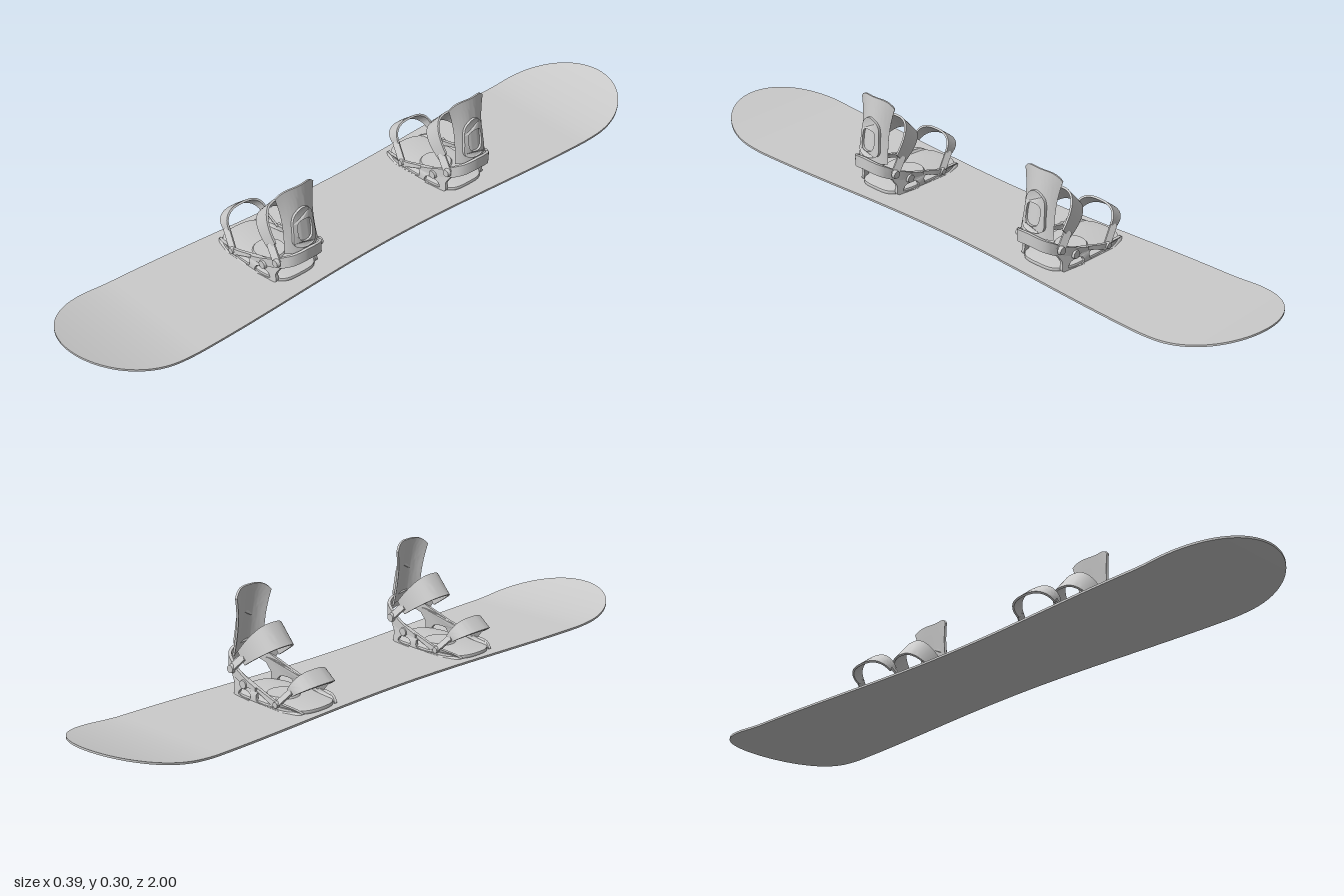
import * as THREE from 'three';
import { toCreasedNormals } from 'three/addons/utils/BufferGeometryUtils.js';

const material = new THREE.MeshStandardMaterial({ color: 0xcccccc, side: THREE.DoubleSide });
const V = (x, y, z = 0) => new THREE.Vector3(x, y, z);
const lerp = THREE.MathUtils.lerp;

function part(name, geometry, parent) {
  const mesh = new THREE.Mesh(toCreasedNormals(geometry, 0.6), material);
  mesh.name = name;
  parent.add(mesh);
  return mesh;
}

// Thick sheet following f(u, v); offset is a fixed vector or a distance along the normal
function sheet(f, nu, nv, offset) {
  const pos = [], index = [], row = nu + 1, layer = row * (nv + 1), e = 1e-3;
  for (let k = 0; k < 2; k++) {
    for (let j = 0; j <= nv; j++) {
      for (let i = 0; i <= nu; i++) {
        const u = i / nu, v = j / nv, p = f(u, v);
        if (k && offset.isVector3) p.add(offset);
        else if (k) {
          const du = f(Math.min(u + e, 1), v).sub(f(Math.max(u - e, 0), v));
          const dv = f(u, Math.min(v + e, 1)).sub(f(u, Math.max(v - e, 0)));
          p.addScaledVector(du.cross(dv).normalize(), offset);
        }
        pos.push(p.x, p.y, p.z);
      }
    }
  }
  const quad = (a, b, c, d) => index.push(a, b, c, a, c, d);
  for (let j = 0; j < nv; j++) {
    for (let i = 0; i < nu; i++) {
      const a = j * row + i, b = a + 1, c = b + row, d = a + row;
      quad(a, d, c, b);
      quad(a + layer, b + layer, c + layer, d + layer);
    }
  }
  const rim = (a, b) => quad(a, b, b + layer, a + layer);
  for (let i = 0; i < nu; i++) {
    rim(i, i + 1);
    rim(nv * row + i + 1, nv * row + i);
  }
  for (let j = 0; j < nv; j++) {
    rim((j + 1) * row, j * row);
    rim(j * row + nu, (j + 1) * row + nu);
  }
  const g = new THREE.BufferGeometry();
  g.setAttribute('position', new THREE.Float32BufferAttribute(pos, 3));
  g.setIndex(index);
  return g;
}

function bend(geometry, rule) {
  const p = geometry.attributes.position, v = V(0, 0);
  for (let i = 0; i < p.count; i++) {
    rule(v.fromBufferAttribute(p, i));
    p.setXYZ(i, v.x, v.y, v.z);
  }
  return geometry;
}

const smoothLoop = (points, n) => new THREE.CatmullRomCurve3(points.map(([x, y]) => V(x, y)), true, 'centripetal')
  .getPoints(n).slice(0, -1).map(p => new THREE.Vector2(p.x, p.y));

// Waisted deck with rounded, upturned ends
function deckPoint(u, v) {
  const z = Math.cos(Math.PI * v), a = Math.abs(z);
  const t = Math.max(0, (a - 0.78) / 0.22);
  const half = a < 0.78
    ? 0.166 + 0.031 * Math.sin(Math.PI * a / 1.56) ** 2
    : 0.197 * Math.sqrt(Math.max(1e-5, 1 - t ** 2.1));
  const rise = 0.044 * Math.max(0, (a - 0.72) / 0.28) ** 1.7;
  return V((2 * u - 1) * half, rise, z);
}

// Arched pad over the foot, between a front edge and a rear edge
function strapPad(frontSide, rearSide, frontTop, rearTop, half) {
  return sheet((u, v) => {
    const c = Math.cos(Math.PI * u), s = Math.sin(Math.PI * u) ** 0.85;
    const lift = frontSide.clone().lerp(frontTop, s);
    const p = lift.lerp(rearSide.clone().lerp(rearTop, s), v);
    p.z = half * Math.sign(c) * Math.abs(c) ** 0.75;
    return p;
  }, 28, 6, 0.006);
}

// Narrow straight strap end between two points
function strapEnd(from, to, width) {
  const d = to.clone().sub(from);
  const g = new THREE.BoxGeometry(d.length(), width, 0.006);
  g.applyQuaternion(new THREE.Quaternion().setFromUnitVectors(V(1, 0), d.clone().normalize()));
  return g.translate(...from.clone().add(to).multiplyScalar(0.5).toArray());
}

function sideRail() {
  const shape = new THREE.Shape(smoothLoop([
    [-0.15, 0.008], [-0.13, 0.021], [-0.06, 0.03], [0, 0.047], [0.05, 0.06], [0.09, 0.072],
    [0.122, 0.074], [0.117, 0.056], [0.105, 0.035], [0.105, 0.008], [0.03, 0.006], [-0.08, 0.006]], 72));
  for (const hole of [
    [[-0.055, 0.013], [0.005, 0.013], [0.005, 0.034], [-0.02, 0.028]],
    [[0.03, 0.013], [0.085, 0.013], [0.075, 0.028], [0.035, 0.028]]])
    shape.holes.push(new THREE.Path(smoothLoop(hole, 20)));
  const g = new THREE.ExtrudeGeometry(shape, { depth: 0.009, bevelEnabled: false });
  return bend(g, p => {
    p.z += 0.077 - 0.14 * Math.max(0, p.x - 0.03) - 8 * Math.max(0, -0.1 - p.x) ** 2 - 0.1 * (p.y - 0.006);
  });
}

function heelHoop() {
  const half = [V(0.01, 0.043, 0.075), V(0.06, 0.055, 0.071), V(0.11, 0.073, 0.062), V(0.145, 0.093, 0.045)];
  const curve = new THREE.CatmullRomCurve3([...half, V(0.158, 0.104, 0),
    ...half.slice().reverse().map(p => V(p.x, p.y, -p.z))]);
  return sheet((u, v) => {
    const p = curve.getPoint(u);
    p.y += (v - 0.5) * lerp(0.01, 0.036, Math.min(1, Math.sin(Math.PI * u) * 1.2));
    return p;
  }, 48, 3, 0.009);
}

// Cupped heel support, flared at the top and leaning forward
const highbackPoint = (u, v) => {
  const s = 2 * u - 1, w = v - 0.45;
  return V(0.153 - 0.031 * v - lerp(0.026, 0.019, v) * s * s,
    0.107 + v * (0.193 - 0.024 * s ** 4), s * (0.054 + (w > 0 ? 0.042 : 0.025) * w * w));
};

function leanAdjuster() {
  const shape = new THREE.Shape(smoothLoop([[-0.034, 0.13], [0.034, 0.13], [0.036, 0.17], [0.028, 0.222],
    [0, 0.24], [-0.028, 0.222], [-0.036, 0.17]], 48));
  shape.holes.push(new THREE.Path(smoothLoop([[-0.018, 0.145], [0.018, 0.145], [0.019, 0.2], [-0.019, 0.2]], 32)));
  const g = new THREE.ExtrudeGeometry(shape, { depth: 0.009, bevelEnabled: false });
  return bend(g, p => {
    const v = (p.y - 0.107) / 0.193;
    p.set(0.151 - 0.031 * v - 7 * p.x * p.x + p.z, p.y, -p.x);
  });
}

function createBinding() {
  const binding = new THREE.Group();
  binding.name = 'binding';

  // Foot tray with its round mounting disc
  const tray = new THREE.Shape(smoothLoop([[-0.155, 0], [-0.145, 0.05], [-0.11, 0.074], [0, 0.079], [0.08, 0.072],
    [0.115, 0.05], [0.122, 0], [0.115, -0.05], [0.08, -0.072], [0, -0.079], [-0.11, -0.074], [-0.145, -0.05]], 60));
  const trayGeometry = new THREE.ExtrudeGeometry(tray, {
    depth: 0.006, bevelThickness: 0.003, bevelSize: 0.003, bevelSegments: 2 });
  part('footTray', trayGeometry.rotateX(-Math.PI / 2).translate(0, 0.007, 0), binding);
  part('mountingDisc', new THREE.CylinderGeometry(0.044, 0.048, 0.006, 36).translate(-0.01, 0.018, 0), binding);

  // Heel loop, back support and adjuster
  part('heelHoop', heelHoop(), binding);
  part('highback', sheet(highbackPoint, 24, 16, 0.006), binding);
  part('leanAdjuster', leanAdjuster(), binding);

  // Ankle and toe straps
  part('ankleStrapPad', strapPad(V(0.07, 0.094), V(0.097, 0.128), V(-0.022, 0.155), V(0.028, 0.212), 0.067), binding);
  part('toeStrapPad', strapPad(V(-0.118, 0.053), V(-0.098, 0.068), V(-0.167, 0.083), V(-0.127, 0.115), 0.07), binding);

  // Side rails, strap ends and pivots on both sides
  for (const side of [1, -1]) {
    const rail = sideRail();
    if (side < 0) rail.rotateY(Math.PI), bend(rail, p => { p.x = -p.x; });
    if (side < 0) {
      const p = rail.attributes.position.array;
      for (let i = 0; i < p.length; i += 9)
        for (let k = 0; k < 3; k++) [p[i + 3 + k], p[i + 6 + k]] = [p[i + 6 + k], p[i + 3 + k]];
    }
    part('sideRail', rail, binding);
    part('ankleStrapEnd', strapEnd(V(0.115, 0.077, side * 0.074), V(0.075, 0.118, side * 0.064), 0.024), binding);
    part('toeStrapEnd', strapEnd(V(-0.07, 0.022, side * 0.08), V(-0.112, 0.066, side * 0.067), 0.02), binding);
    for (const [x, y, r, z] of [[0.113, 0.077, 0.013, 0.077], [0.06, 0.046, 0.014, 0.08], [-0.07, 0.021, 0.01, 0.084]]) {
      const pivot = new THREE.CylinderGeometry(r * 0.85, r, 0.01, 20).rotateX(side * Math.PI / 2);
      part('pivot', pivot.translate(x, y, side * z), binding);
    }
  }
  return binding;
}

export function createModel() {
  const model = new THREE.Group();
  model.name = 'snowboard';
  part('deck', sheet(deckPoint, 16, 100, V(0, 0.006)), model);
  for (const z of [0.317, -0.317]) {
    const binding = createBinding();
    binding.position.z = z;
    model.add(binding);
  }
  return model;
}
